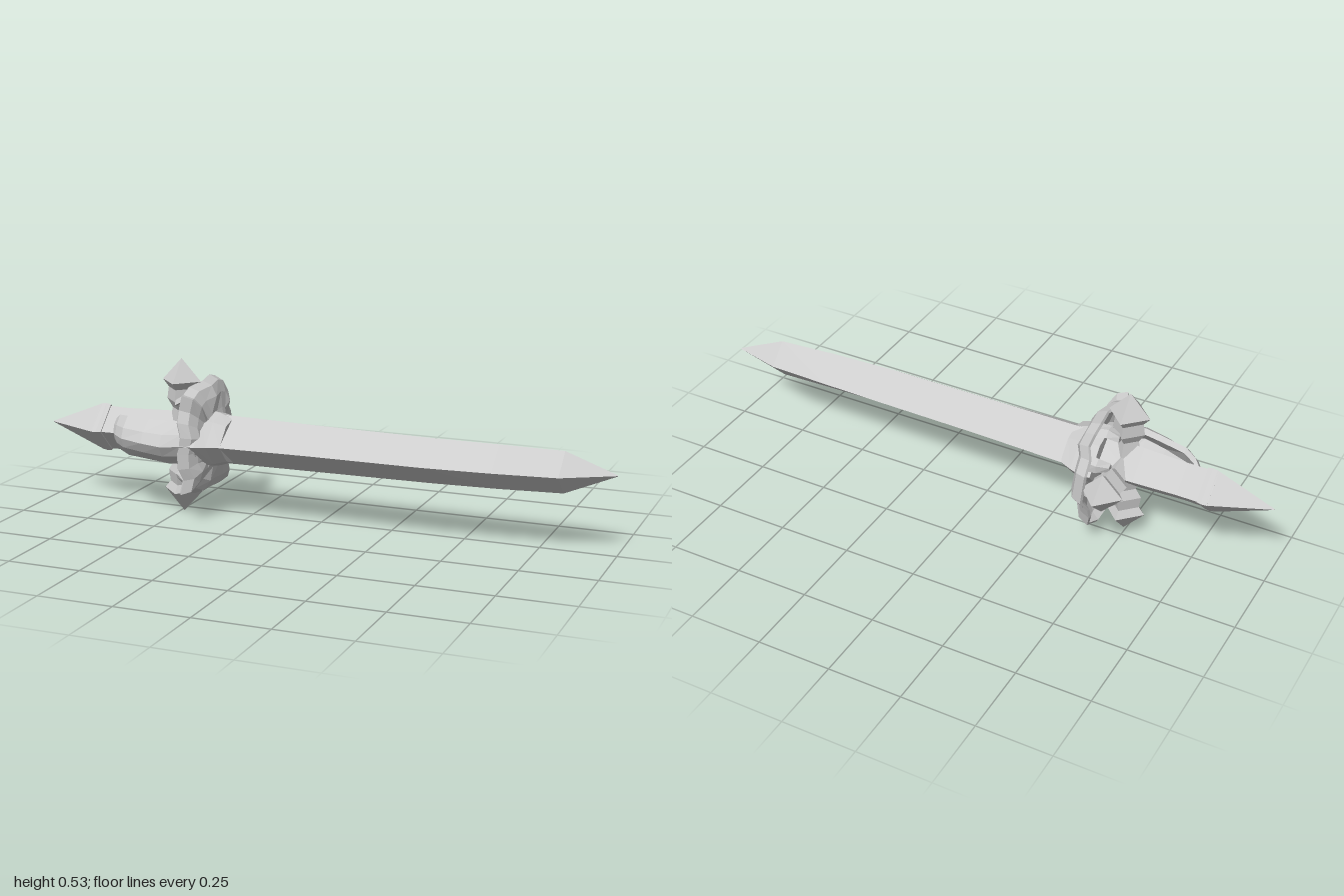
import * as THREE from 'three';

const CY = 0.27; // height of the sword's axis
const CZ = 0.04; // depth of the sword's axis

// Skin a closed solid over rings of [x, y, z] points, capping both ends
function loft(rings) {
  const pos = [], n = rings[0].length;
  const tri = (a, b, c) => pos.push(...a, ...b, ...c);
  for (let r = 0; r < rings.length - 1; r++) {
    for (let i = 0; i < n; i++) {
      const j = (i + 1) % n, a = rings[r], b = rings[r + 1];
      tri(a[i], a[j], b[j]);
      tri(a[i], b[j], b[i]);
    }
  }
  const mean = ring => [0, 1, 2].map(k => ring.reduce((s, p) => s + p[k], 0) / n);
  const first = rings[0], last = rings[rings.length - 1];
  for (let i = 0; i < n; i++) {
    const j = (i + 1) % n;
    tri(mean(first), first[j], first[i]);
    tri(mean(last), last[i], last[j]);
  }
  // A negative volume means the rings wind the other way: turn every face
  let volume = 0;
  const at = i => new THREE.Vector3().fromArray(pos, i);
  for (let i = 0; i < pos.length; i += 9) volume += at(i).dot(at(i + 3).cross(at(i + 6)));
  if (volume < 0) {
    for (let i = 0; i < pos.length; i += 9) {
      for (let k = 0; k < 3; k++) [pos[i + 3 + k], pos[i + 6 + k]] = [pos[i + 6 + k], pos[i + 3 + k]];
    }
  }
  const g = new THREE.BufferGeometry();
  g.setAttribute('position', new THREE.Float32BufferAttribute(pos, 3));
  g.computeVertexNormals();
  return g;
}

// Diamond section across x: half height h, edges at z0 and z1, ridge at zr
const diamond = (x, h, z0, z1, zr) => [[x, CY + h, zr], [x, CY, z1], [x, CY - h, zr], [x, CY, z0]];

// Eight-sided section across x
const octagon = (x, h, w, cz) => [[0, 1], [0.5, 0.8], [1, 0], [0.5, -0.8], [0, -1], [-0.5, -0.8], [-1, 0], [-0.5, 0.8]]
  .map(([z, y]) => [x, CY + y * h, cz + z * w]);

export function createModel() {
  const group = new THREE.Group();
  const steel = new THREE.MeshStandardMaterial({ color: 0xcccccc });
  steel.name = 'pale steel';
  const add = (name, geometry) => {
    const m = new THREE.Mesh(geometry, steel);
    m.name = name;
    group.add(m);
    return m;
  };

  // Blade: long diamond section, gently curved, with a short point
  add('blade', loft([
    diamond(-0.38, 0.085, -0.065, 0.165, 0.04),
    diamond(-0.3, 0.083, -0.062, 0.16, 0.04),
    diamond(0, 0.079, -0.052, 0.149, 0.046),
    diamond(0.4, 0.075, -0.046, 0.148, 0.05),
    diamond(0.62, 0.073, -0.041, 0.132, 0.042),
    diamond(0.83, 0.069, -0.035, 0.107, 0.03),
    diamond(0.995, 0.002, 0.008, 0.013, 0.011),
  ]));

  // Collar where the blade leaves the guard
  add('bladeCollar', loft([
    octagon(-0.42, 0.1, 0.142, 0.047),
    octagon(-0.38, 0.098, 0.142, 0.047),
    octagon(-0.345, 0.09, 0.126, 0.045),
    octagon(-0.3, 0.075, 0.108, 0.048),
  ]));

  // Hand guard: ragged, squarish bowl opening towards the grip
  const half = [[0.195, 0.03], [0.192, 0.08], [0.177, 0.12], [0.178, 0.17], [0.142, 0.165], [0.1, 0.183],
    [0.02, 0.19], [-0.06, 0.195], [-0.105, 0.182], [-0.12, 0.14], [-0.135, 0.1], [-0.168, 0.055]];
  const outline = [...half, ...half.map(([z, y]) => [z, -y]).reverse()];
  const bowlRing = ([x, s], r) => outline.map(([z, y], i) => [
    x + (r > 1 && r < 6 && i % 3 === 0 ? 0.012 : 0), CY + y * s, CZ + (z - CZ) * s]);
  add('handGuard', loft([
    [-0.35, 0.3], [-0.365, 0.5], [-0.38, 0.75], [-0.4, 0.93], [-0.435, 1],
    [-0.44, 0.96], [-0.415, 0.87], [-0.4, 0.7], [-0.385, 0.35],
  ].map(bowlRing)));

  // Grip
  add('grip', loft([
    diamond(-0.79, 0.076, -0.048, 0.108, 0.032),
    diamond(-0.7, 0.074, -0.046, 0.104, 0.034),
    diamond(-0.55, 0.08, -0.052, 0.11, 0.035),
    diamond(-0.38, 0.082, -0.055, 0.12, 0.04),
  ]));

  // Pommel band and spike
  add('pommelBand', loft([
    diamond(-0.805, 0.08, -0.052, 0.115, 0.032),
    diamond(-0.785, 0.084, -0.054, 0.118, 0.032),
    diamond(-0.768, 0.081, -0.05, 0.112, 0.032),
  ]));
  add('pommelSpike', loft([
    diamond(-0.79, 0.082, -0.053, 0.117, 0.032),
    diamond(-0.8, 0.082, -0.053, 0.117, 0.032),
    diamond(-0.997, 0.002, 0.029, 0.033, 0.031),
  ]));

  // Knuckle bow: ridged band sweeping from grip to guard
  const bow = [[-0.735, 0.088, 0.04, 0.03], [-0.705, 0.125, 0.062, 0.04], [-0.66, 0.165, 0.068, 0.05],
    [-0.57, 0.2, 0.07, 0.065], [-0.49, 0.222, 0.074, 0.075], [-0.43, 0.197, 0.074, 0.065], [-0.385, 0.18, 0.07, 0.05]];
  add('knuckleBow', loft(bow.map(([x, z, h, d]) => [
    [x, CY, z], [x, CY + h * 0.5, z - d * 0.3], [x, CY + h, z - d], [x, CY + h * 0.8, z - d - 0.014],
    [x, CY, z - 0.035], [x, CY - h * 0.8, z - d - 0.014], [x, CY - h, z - d], [x, CY - h * 0.5, z - d * 0.3],
  ])));

  // Crystal studs pointing up, down and back; each stands on a faceted stem
  const studProfile = [[0.04, 0.05], [0.095, 0.036], [0.125, 0.056], [0.165, 0.05], [0.19, 0.071], [0.265, 0.001]];
  const stud = loft(studProfile.map(([y, w]) => [[w, y, 0], [0, y, w], [-w, y, 0], [0, y, -w]]));
  // Claw gripping the stud from the guard's rim
  const claw = loft([[0, 0.15, 0.03], [-0.04, 0.16, 0.024], [-0.075, 0.135, 0.014]].map(([x, y, w]) => [
    [x, y + 0.012, 0], [x, y, w], [x, y - 0.012, 0], [x, y, -w]]));
  [['top', 0], ['bottom', Math.PI], ['back', -Math.PI / 2]].forEach(([side, angle]) => {
    const s = add(side + 'Stud', stud);
    s.position.set(-0.49, CY, CZ);
    s.rotation.x = angle;
    for (const offset of [-0.42, 0.42]) {
      const c = add(side + 'Claw', claw);
      c.position.set(-0.41, CY, CZ);
      c.rotation.x = angle + offset;
    }
  });

  return group;
}
